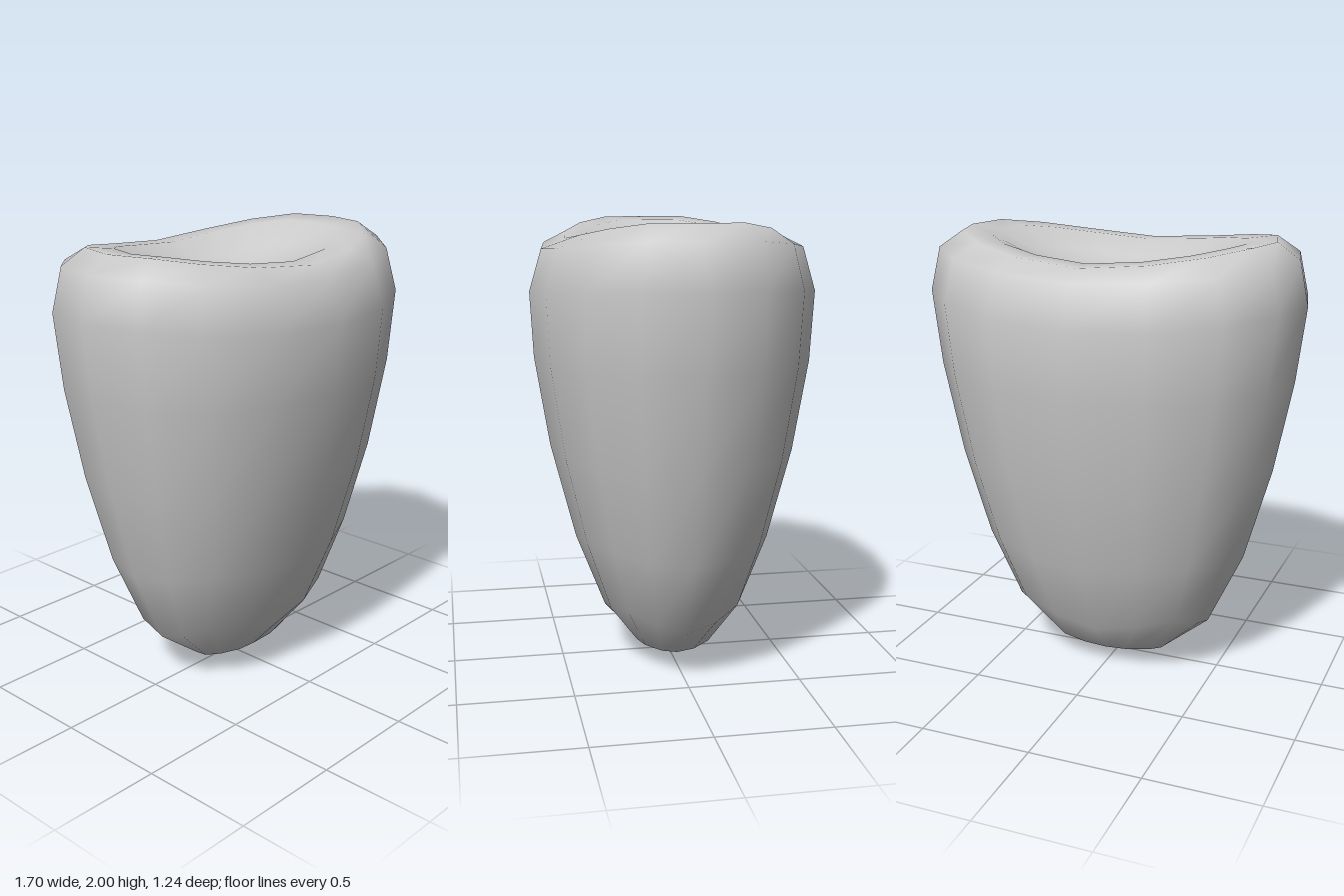
import * as THREE from 'three';

const SEGMENTS = 16;

// Rings from the bottom tip, over the rim, into the dish:
// [half width x, half depth z, y at the x ends, y at the z ends,
//  extra spread on the diagonals, extra height on the diagonals]
const RINGS = [
  [0.23, 0.155, 0.06, 0.075, 0.3, 0.035],
  [0.45, 0.30, 0.225, 0.235, 0.13, 0.09],
  [0.61, 0.43, 0.57, 0.57, 0.03, 0.05],
  [0.73, 0.54, 1.0, 1.0, 0, 0],
  [0.81, 0.605, 1.41, 1.40, 0, 0],
  [0.85, 0.62, 1.74, 1.69, 0, 0],
  [0.81, 0.565, 1.93, 1.875, 0, 0],
  [0.71, 0.46, 2.0, 1.92, 0, 0],
  [0.58, 0.36, 1.985, 1.923, 0, 0],
  [0.4, 0.23, 1.9, 1.863, 0, 0],
  [0.2, 0.115, 1.845, 1.833, 0, 0],
];
const BOTTOM_Y = 0;
const DISH_Y = 1.825;

// Slightly squared ellipse
const swell = (v) => Math.sign(v) * Math.pow(Math.abs(v), 0.93);

function createBodyGeometry() {
  const positions = [0, BOTTOM_Y, 0];
  const index = [];
  for (const [rx, rz, yEnd, yMid, spread, lift] of RINGS) {
    for (let i = 0; i < SEGMENTS; i++) {
      const a = (i / SEGMENTS) * Math.PI * 2;
      const s = Math.sin(a);
      const diagonal = Math.sin(2 * a) ** 2;
      const k = 1 + spread * diagonal;
      // the ring rises toward its x ends, giving the saddle-shaped rim
      const rise = Math.min(1, 1.12 * Math.pow(Math.abs(s), 1.4));
      positions.push(
        rx * k * swell(s),
        yMid + (yEnd - yMid) * rise + lift * diagonal,
        rz * k * swell(Math.cos(a))
      );
    }
  }
  positions.push(0, DISH_Y, 0);

  const at = (ring, i) => 1 + ring * SEGMENTS + (i % SEGMENTS);
  const last = RINGS.length - 1;
  const top = 1 + RINGS.length * SEGMENTS;
  for (let i = 0; i < SEGMENTS; i++) {
    index.push(0, at(0, i + 1), at(0, i));
    for (let r = 0; r < last; r++) {
      const a = at(r, i), b = at(r, i + 1), c = at(r + 1, i + 1), d = at(r + 1, i);
      index.push(a, b, c, a, c, d);
    }
    index.push(at(last, i), at(last, i + 1), top);
  }

  const geometry = new THREE.BufferGeometry();
  geometry.setAttribute('position', new THREE.Float32BufferAttribute(positions, 3));
  geometry.setIndex(index);
  geometry.computeVertexNormals();
  return geometry;
}

export function createModel() {
  const group = new THREE.Group();
  // Tapered oval body with a dished top
  const body = new THREE.Mesh(
    createBodyGeometry(),
    new THREE.MeshStandardMaterial({ color: 0xcccccc })
  );
  body.name = 'dishedBody';
  group.add(body);
  return group;
}
